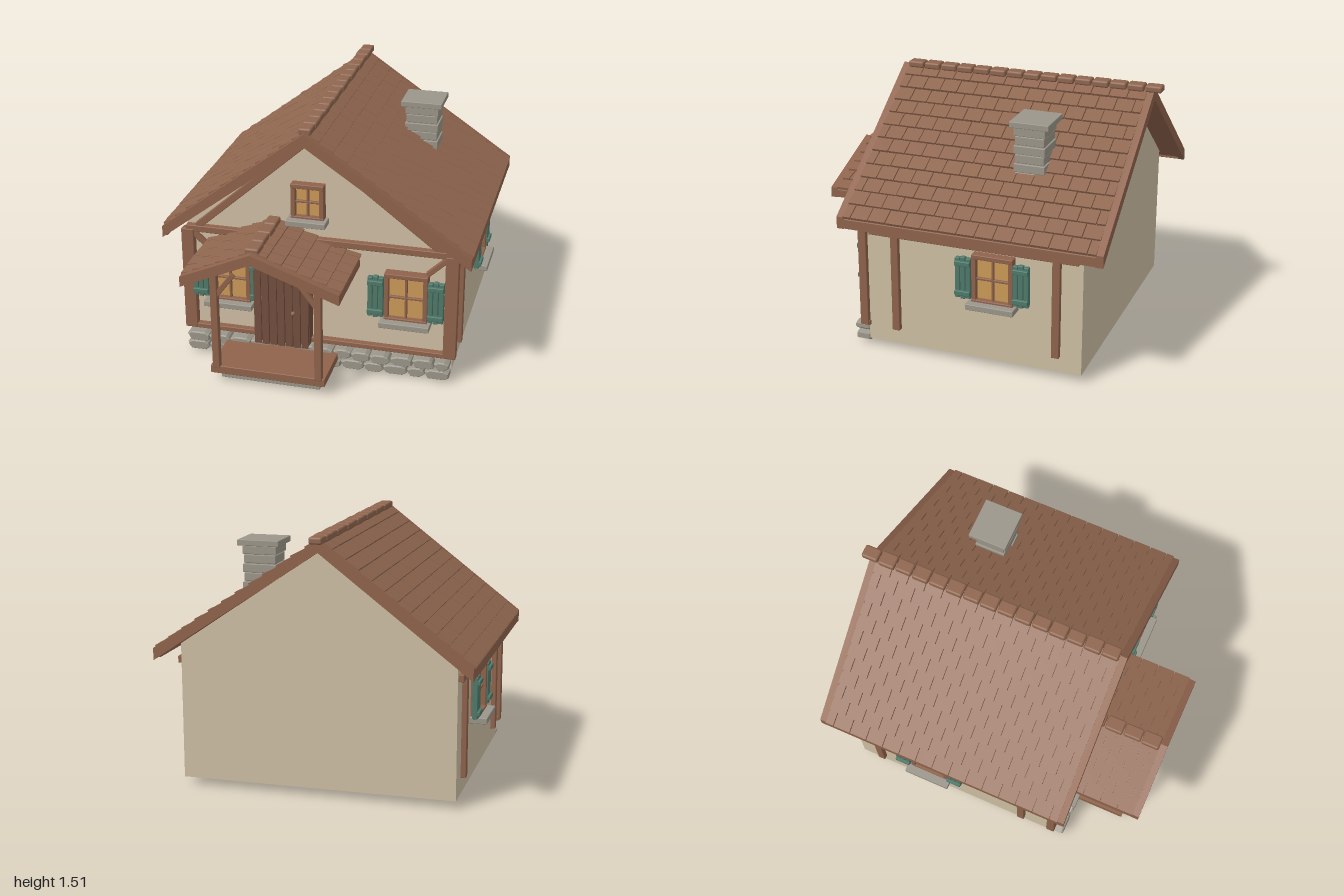
import * as THREE from 'three';
import { mergeGeometries } from 'three/addons/utils/BufferGeometryUtils.js';
import { RoundedBoxGeometry } from 'three/addons/geometries/RoundedBoxGeometry.js';

const mat = (name, color) => Object.assign(new THREE.MeshStandardMaterial({ color }), { name });
const M = {
  plaster: mat('plaster', 0xcfbfa4),
  timber: mat('timber', 0x8f634c),
  tile: mat('roofTile', 0x8f664f),
  door: mat('doorWood', 0x73503f),
  stone: mat('stone', 0x9b968a),
  glass: mat('warmGlass', 0xcc9a58),
  shutter: mat('shutterGreen', 0x4f7a6b),
};

let seed = 7;
const rnd = () => (seed = (seed * 16807) % 2147483647) / 2147483647;

export function createModel() {
  const root = new THREE.Group();
  root.name = 'cottage';

  const add = (parent, name, geo, material, x = 0, y = 0, z = 0) => {
    const m = new THREE.Mesh(geo, material);
    m.name = name;
    m.position.set(x, y, z);
    parent.add(m);
    return m;
  };
  // Box given by its limits on each axis
  const box = (parent, name, material, x0, x1, y0, y1, z0, z1) =>
    add(parent, name, new RoundedBoxGeometry(x1 - x0, y1 - y0, z1 - z0, 1, 0.004), material,
      (x0 + x1) / 2, (y0 + y1) / 2, (z0 + z1) / 2);
  // Straight timber between two points in the front plane
  const beam = (parent, name, x1, y1, x2, y2, thick, z0, z1) => {
    const g = new RoundedBoxGeometry(Math.hypot(x2 - x1, y2 - y1), thick, z1 - z0, 1, 0.004);
    add(parent, name, g, M.timber, (x1 + x2) / 2, (y1 + y2) / 2, (z0 + z1) / 2)
      .rotation.z = Math.atan2(y2 - y1, x2 - x1);
  };
  // Polygon in the front plane extruded from z0 to z1
  const prism = (parent, name, material, pts, z0, z1) => {
    const s = new THREE.Shape(pts.map(p => new THREE.Vector2(...p)));
    return add(parent, name, new THREE.ExtrudeGeometry(s, { depth: z1 - z0, bevelEnabled: false }), material, 0, 0, z0);
  };

  // House body with an off-centre gable
  prism(root, 'walls', M.plaster,
    [[-0.8, 0.05], [0.8, 0.05], [0.8, 0.845], [-0.055, 1.43], [-0.8, 0.855]], -0.81, 0.49);

  // One gabled roof: slabs, stepped tiles, end boards, eave boards and ridge caps
  function gableRoof(name, o) {
    const g = new THREE.Group();
    g.name = name;
    root.add(g);
    for (const [ex, side] of [[o.left, -1], [o.right, 1]]) {
      const dx = ex - o.rx, dy = o.ey - o.ry, len = Math.hypot(dx, dy);
      const slope = (drop, t, z0, z1, part) => prism(g, part, M.timber,
        [[o.rx, o.ry - drop], [ex, o.ey - drop], [ex, o.ey - drop - t], [o.rx, o.ry - drop - t]], z0, z1);
      slope(0.022, o.t - 0.025, o.z0 + 0.02, o.z1 - 0.02, 'roofSlab');
      slope(0, o.t, o.z1 - 0.045, o.z1, 'frontBargeboard');
      if (o.backBoard) slope(0, o.t, o.z0, o.z0 + 0.045, 'rearBargeboard');
      const xe = ex - side * 0.03;
      box(g, 'eaveBoard', M.timber, Math.min(ex, xe), Math.max(ex, xe), o.ey - o.t + 0.01, o.ey - 0.01, o.z0 + 0.03, o.z1 - 0.01);

      // Staggered tiles, the lower edge of each row lifted
      const tiles = [], step = len / o.rows, gap = 0.005;
      const za = o.z0 + (o.backBoard ? 0.04 : 0), zb = o.z1 - 0.04;
      const nx = -dy / len * side, ny = Math.abs(dx) / len;
      for (let r = 0; r < o.rows; r++) {
        const s = (r + 0.5) * step;
        for (let z = za - (r % 2) * o.tileW / 2; z < zb - 0.01; z += o.tileW) {
          const a = Math.max(z, za), b = Math.min(z + o.tileW - gap, zb);
          if (b - a < 0.01) continue;
          const t = new THREE.BoxGeometry(step + 0.004, 0.016, b - a);
          t.rotateZ(Math.atan2(dy * side, dx * side) + side * 0.13);
          const h = -0.006 + rnd() * 0.003;
          t.translate(o.rx + dx * s / len + nx * h, o.ry + dy * s / len + ny * h, (a + b) / 2);
          tiles.push(t);
        }
      }
      add(g, 'roofTiles', mergeGeometries(tiles), M.tile);
    }
    // Ridge caps
    const n = Math.round((o.capFront - o.capBack) / 0.105), cs = (o.capFront - o.capBack) / n;
    for (let i = 0; i < n; i++) {
      const w = 0.076 + (i % 2) * 0.008;
      add(g, 'ridgeCap', new RoundedBoxGeometry(w, 0.04, cs - 0.006, 2, 0.012), M.tile,
        o.rx, o.ry, o.capBack + (i + 0.5) * cs);
    }
  }
  gableRoof('mainRoof', { rx: -0.055, ry: 1.495, ey: 0.843, left: -0.91, right: 0.91, t: 0.07,
    z0: -0.95, z1: 0.62, rows: 12, tileW: 0.107, capBack: -1, capFront: 0.58, backBoard: true });
  gableRoof('porchRoof', { rx: -0.258, ry: 0.915, ey: 0.733, left: -0.67, right: 0.25, t: 0.062,
    z0: 0.49, z1: 1, rows: 6, tileW: 0.107, capBack: 0.5, capFront: 0.96 });

  // Chimney of alternating stone courses
  const chimney = new THREE.Group();
  chimney.name = 'chimney';
  root.add(chimney);
  for (let i = 0; i < 7; i++) {
    const e = (i % 2) * 0.006, y = 1.0 + i * 0.053;
    box(chimney, 'chimneyCourse', M.stone, 0.333 + e, 0.538 - e, y, y + 0.049, -0.49 + e, -0.305 - e);
  }
  box(chimney, 'chimneyCore', M.stone, 0.345, 0.525, 0.95, 1.38, -0.48, -0.315);
  box(chimney, 'chimneyCap', M.stone, 0.31, 0.56, 1.37, 1.405, -0.517, -0.285);

  // Front timber frame
  const frame = new THREE.Group();
  frame.name = 'timberFrame';
  root.add(frame);
  box(frame, 'sillBeam', M.timber, -0.82, 0.82, 0.14, 0.17, 0.48, 0.53);
  box(frame, 'tieBeam', M.timber, -0.8, 0.8, 0.785, 0.825, 0.48, 0.53);
  for (const s of [-1, 1]) {
    const x = s * 0.79;
    box(frame, 'cornerPost', M.timber, x - 0.038, x + 0.038, 0.145, 0.8, 0.485, 0.535);
    beam(frame, 'gableRafter', s * 0.73, 0.82, -0.055, 1.42, 0.042, 0.48, 0.525);
    beam(frame, 'cornerBrace', s * 0.76, 0.775, s * 0.645, 0.665, 0.03, 0.485, 0.52);
    // Side wall timbers
    const a = s > 0 ? 0.79 : -0.83, b = a + 0.04;
    for (const z of [0.307, -0.662]) box(frame, 'sidePost', M.timber, a, b, 0.145, 0.74, z - 0.023, z + 0.023);
    box(frame, 'sideBeam', M.timber, a, b, 0.725, 0.765, -0.79, 0.465);
  }

  // Window facing local +z, centred on its opening
  function windowUnit(name, w, h, shutters, x, y, z, ry) {
    const g = new THREE.Group();
    g.name = name;
    g.position.set(x, y, z);
    g.rotation.y = ry;
    root.add(g);
    const W = w / 2, H = h / 2, f = 0.027;
    add(g, 'windowGlass', new THREE.BoxGeometry(w - f, h - f, 0.008), M.glass, 0, 0, 0.01);
    for (const s of [-1, 1]) {
      box(g, 'windowJamb', M.timber, s * (W - f / 2) - f / 2, s * (W - f / 2) + f / 2, -H, H, -0.02, 0.045);
      box(g, 'windowRail', M.timber, -W, W, s * (H - f / 2) - f / 2, s * (H - f / 2) + f / 2, -0.02, 0.048);
    }
    box(g, 'verticalBar', M.timber, -0.007, 0.007, -H, H, 0, 0.03);
    box(g, 'crossBar', M.timber, -W, W, -0.007, 0.007, 0, 0.03);
    box(g, 'windowSill', M.stone, -W - 0.02, W + 0.02, -H - 0.02, -H + 0.015, -0.02, 0.095);
    if (!shutters) return;
    for (const s of [-1, 1]) {
      const c = s * (W + 0.049);
      for (const i of [-1, 0, 1]) {
        const k = c + i * 0.032, e = i ? 0 : 0.006;
        box(g, 'shutterSlat', M.shutter, k - 0.0145, k + 0.0145, -H + 0.028 - e, H - 0.03 + e, 0.02, 0.052);
      }
      for (const t of [-0.6, 0.6])
        box(g, 'shutterBatten', M.shutter, c - 0.046, c + 0.046, t * H - 0.014, t * H + 0.014, 0.03, 0.066);
    }
  }
  for (const s of [-1, 1]) {
    windowUnit('frontWindow', 0.255, 0.31, true, s * 0.53, 0.515, 0.515, 0);
    windowUnit('sideWindow', 0.245, 0.3, true, s * 0.805, 0.56, -0.295, s * Math.PI / 2);
  }
  windowUnit('gableWindow', 0.195, 0.225, false, -0.055, 1.048, 0.495, 0);

  // Arched plank door
  const door = new THREE.Group();
  door.name = 'door';
  root.add(door);
  const cx = -0.207, hw = 0.168;
  const arch = (a, b, r) => {
    const pts = [[cx + a, 0.125], [cx + b, 0.125]];
    for (let i = 0; i <= 8; i++) {
      const x = b + (a - b) * i / 8;
      pts.push([cx + x, 0.58 + r * Math.sqrt(Math.max(0, 1 - (x / hw) ** 2))]);
    }
    return pts;
  };
  prism(door, 'doorBacking', M.door, arch(-hw, hw, 0.103), 0.48, 0.575);
  const planks = 7, pw = 2 * hw / planks;
  for (let i = 0; i < planks; i++) {
    const a = -hw + i * pw;
    prism(door, 'doorPlank', M.door, arch(a + 0.003, a + pw - 0.003, 0.1), 0.56, 0.59 + (i % 2) * 0.004);
  }
  add(door, 'doorKnob', new THREE.SphereGeometry(0.014, 12, 8), M.timber, -0.128, 0.36, 0.605);

  // Porch deck, posts, braces, steps and lantern
  const porch = new THREE.Group();
  porch.name = 'porch';
  root.add(porch);
  box(porch, 'porchDeck', M.timber, -0.55, 0.135, 0.065, 0.115, 0.5, 0.885);
  box(porch, 'lowerStep', M.stone, -0.505, 0.09, 0.005, 0.048, 0.695, 0.825);
  box(porch, 'upperStep', M.stone, -0.49, 0.075, 0.04, 0.068, 0.635, 0.77);
  for (const [x, s, top] of [[-0.511, 1, 0.745], [0.099, -1, 0.74]]) {
    box(porch, 'porchPost', M.timber, x - 0.021, x + 0.021, 0.11, top, 0.857, 0.9);
    beam(porch, 'porchBrace', x, 0.565, x + s * 0.115, 0.72, 0.03, 0.865, 0.893);
  }
  box(porch, 'lantern', M.glass, 0, 0.04, 0.568, 0.636, 0.665, 0.71);

  // Two courses of rough foundation stones
  const base = new THREE.Group();
  base.name = 'foundationStones';
  root.add(base);
  for (let row = 0; row < 2; row++) {
    let x = -0.8;
    while (x < 0.79) {
      let w = 0.1 + rnd() * 0.045;
      if (0.8 - x - w < 0.07) w = 0.8 - x;
      const j = () => rnd() * 0.014, y0 = 0.028 + row * 0.06, y1 = y0 + 0.046, a = x + 0.007, b = x + w - 0.007;
      const s = new THREE.Shape([[a + 0.015 + j(), y0], [b - 0.02 - j(), y0], [b, y0 + 0.008 + j()], [b - j(), y1 - 0.01],
        [b - 0.02 - j(), y1], [a + 0.02 + j(), y1], [a, y1 - 0.012], [a + j(), y0 + 0.015]].map(p => new THREE.Vector2(...p)));
      add(base, 'foundationStone', new THREE.ExtrudeGeometry(s, { depth: 0.07 + j(), bevelThickness: 0.008,
        bevelSize: 0.006, bevelSegments: 1 }), M.stone, 0, 0, 0.5);
      x += w;
    }
  }
  return root;
}
